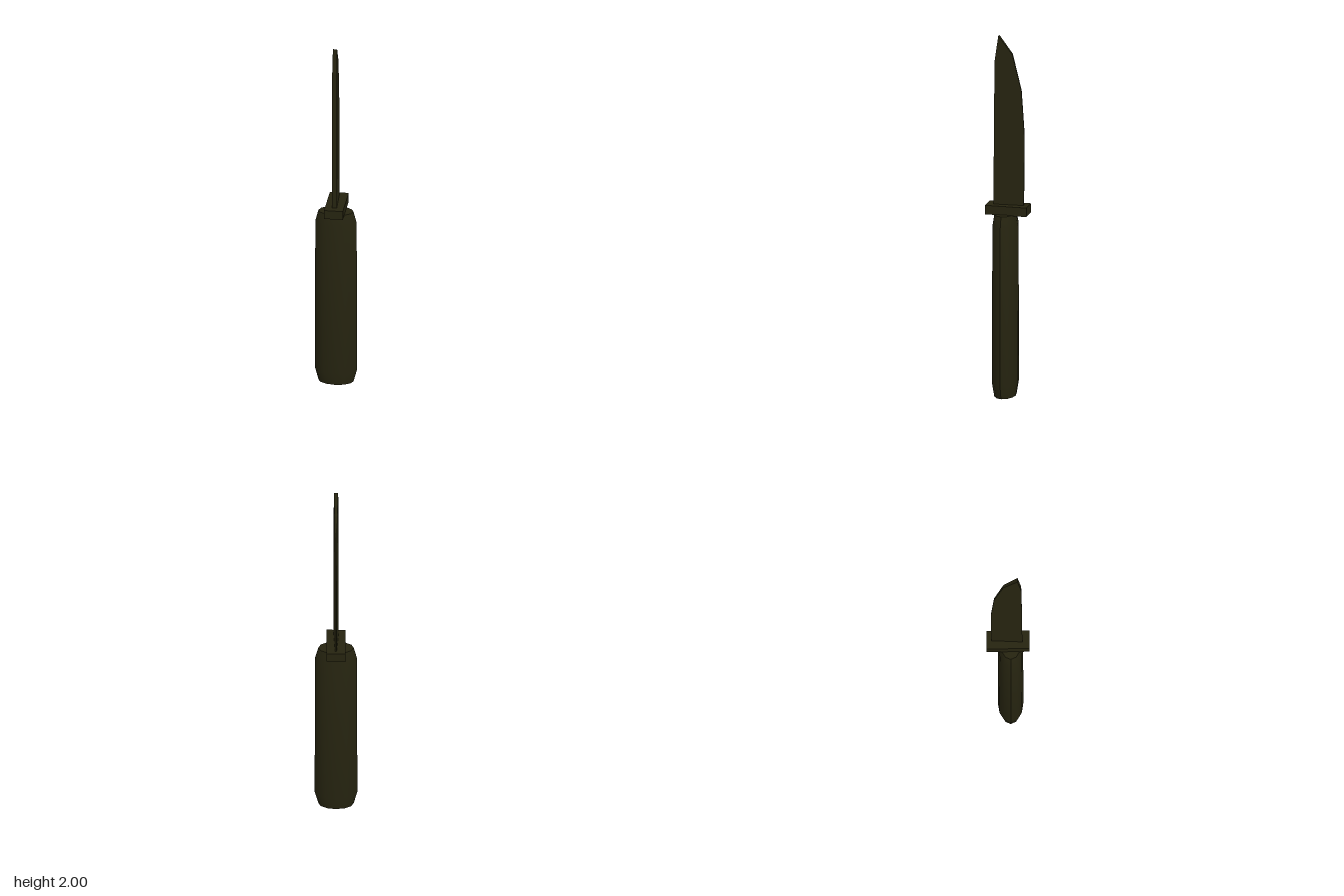
import * as THREE from 'three';
import { toCreasedNormals } from 'three/addons/utils/BufferGeometryUtils.js';

export function createModel() {
  const model = new THREE.Group();
  model.name = 'knife';
  const darkOlive = new THREE.MeshStandardMaterial({ color: 0x262410 });
  darkOlive.name = 'dark olive';

  const add = (name, geometry) => {
    const mesh = new THREE.Mesh(geometry, darkOlive);
    mesh.name = name;
    model.add(mesh);
    return mesh;
  };

  // Handle: twelve-sided oval grip with tapered ends
  const profile = [[0, 0], [0.095, 0], [0.115, 0.075], [0.112, 0.95], [0.095, 1.015], [0, 1.015]]
    .map(([r, y]) => new THREE.Vector2(r, y));
  const grip = new THREE.LatheGeometry(profile, 12);
  grip.scale(1, 1, 0.6);
  add('handle', toCreasedNormals(grip, 0.7)).position.z = 0.014;

  // Guard: flat crossbar between handle and blade
  add('guard', new THREE.BoxGeometry(0.102, 0.05, 0.23)).position.set(0, 1.037, 0);

  // Blade: side outline (z, y), thick at the spine and thin at the cutting edge
  const outline = [[0.077, 1.05], [0.075, 1.5], [0.071, 1.86], [0.051, 2],
    [-0.025, 1.9], [-0.075, 1.7], [-0.092, 1.45], [-0.092, 1.35], [-0.088, 1.05]]
    .map(([z, y]) => new THREE.Vector2(z, y));
  const blade = new THREE.ExtrudeGeometry(new THREE.Shape(outline), { depth: 2, bevelEnabled: false });
  blade.translate(0, 0, -1);
  blade.rotateY(-Math.PI / 2);
  const p = blade.attributes.position;
  for (let i = 0; i < p.count; i++) {
    const t = (p.getZ(i) + 0.092) / 0.169;
    p.setX(i, p.getX(i) * THREE.MathUtils.lerp(0.004, 0.013, t));
  }
  blade.computeVertexNormals();
  add('blade', blade);

  return model;
}
